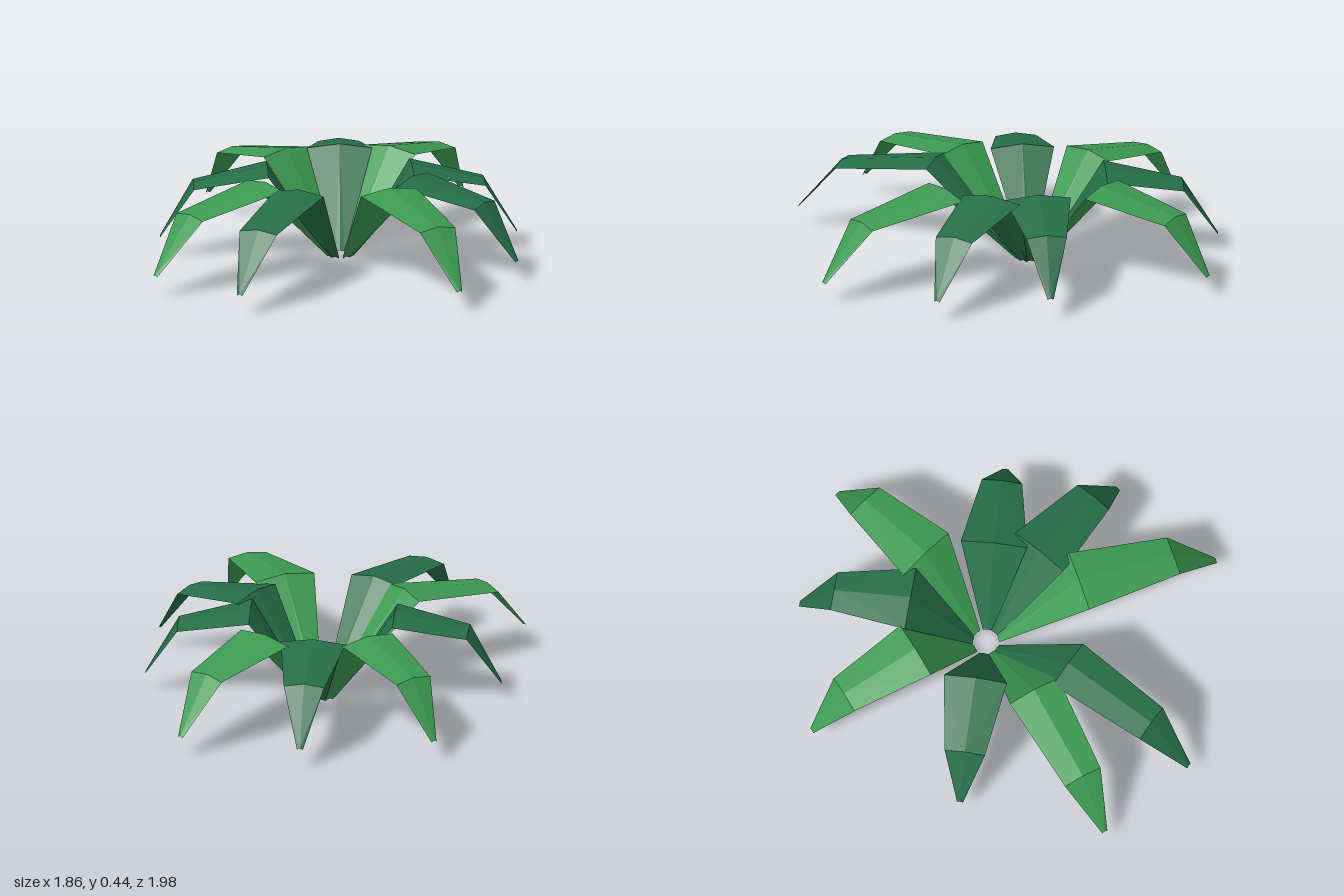
import * as THREE from 'three';

// Each leaf: tip x, tip z, full width, light or dark
const LEAVES = [
  [-0.32, -0.98, 0.286, 'light'],
  [0.32, -0.99, 0.308, 'dark'],
  [0.86, -0.77, 0.3, 'light'],
  [0.92, 0.03, 0.314, 'dark'],
  [0.785, 0.55, 0.297, 'dark'],
  [0.39, 0.985, 0.3, 'light'],
  [-0.63, 0.78, 0.25, 'dark'],
  [-0.93, 0.36, 0.26, 'light'],
  [-0.73, -0.31, 0.3, 'dark'],
];
const CENTRE = { x: 0.1, z: -0.125 };

// Folded blade running along +z: rising base, arched middle, drooping tip
function leafGeometry(length, width) {
  // distance along the blade, edge height, ridge height, half width
  const rows = [
    [0.06, 0.008, 0.014, 0.022],
    [length * 0.405, 0.43, 0.45, width / 2],
    [length * 0.815, 0.36, 0.375, 0.096],
    [length, 0.108, 0.116, 0.014],
  ];
  const positions = [];
  const index = [];
  rows.forEach(([z, edge, ridge, half]) => {
    positions.push(-half, edge, z, 0, ridge, z, half, edge, z);
  });
  for (let r = 0; r < rows.length - 1; r++) {
    for (let c = 0; c < 2; c++) {
      const a = r * 3 + c, b = a + 1, d = a + 3, e = a + 4;
      // mirror the diagonals about the ridge
      if (c === 0) index.push(a, d, e, a, e, b);
      else index.push(a, d, b, b, d, e);
    }
  }
  const indexed = new THREE.BufferGeometry();
  indexed.setAttribute('position', new THREE.Float32BufferAttribute(positions, 3));
  indexed.setIndex(index);
  const geometry = indexed.toNonIndexed();
  geometry.computeVertexNormals();
  return geometry;
}

export function createModel() {
  const plant = new THREE.Group();
  plant.name = 'plant';

  const makeGreen = (name, color) => {
    const material = new THREE.MeshStandardMaterial({ color, flatShading: true, side: THREE.DoubleSide });
    material.name = name;
    return material;
  };
  const greens = {
    light: makeGreen('light green', 0x3c9a52),
    dark: makeGreen('dark green', 0x266f48),
  };

  // Rosette of leaves around the root point
  LEAVES.forEach(([x, z, width, tone], i) => {
    const dx = x - CENTRE.x, dz = z - CENTRE.z;
    const leaf = new THREE.Mesh(leafGeometry(Math.hypot(dx, dz), width), greens[tone]);
    leaf.name = `leaf${i + 1}`;
    leaf.position.set(CENTRE.x, 0, CENTRE.z);
    leaf.rotation.y = Math.atan2(dx, dz);
    plant.add(leaf);
  });

  return plant;
}
